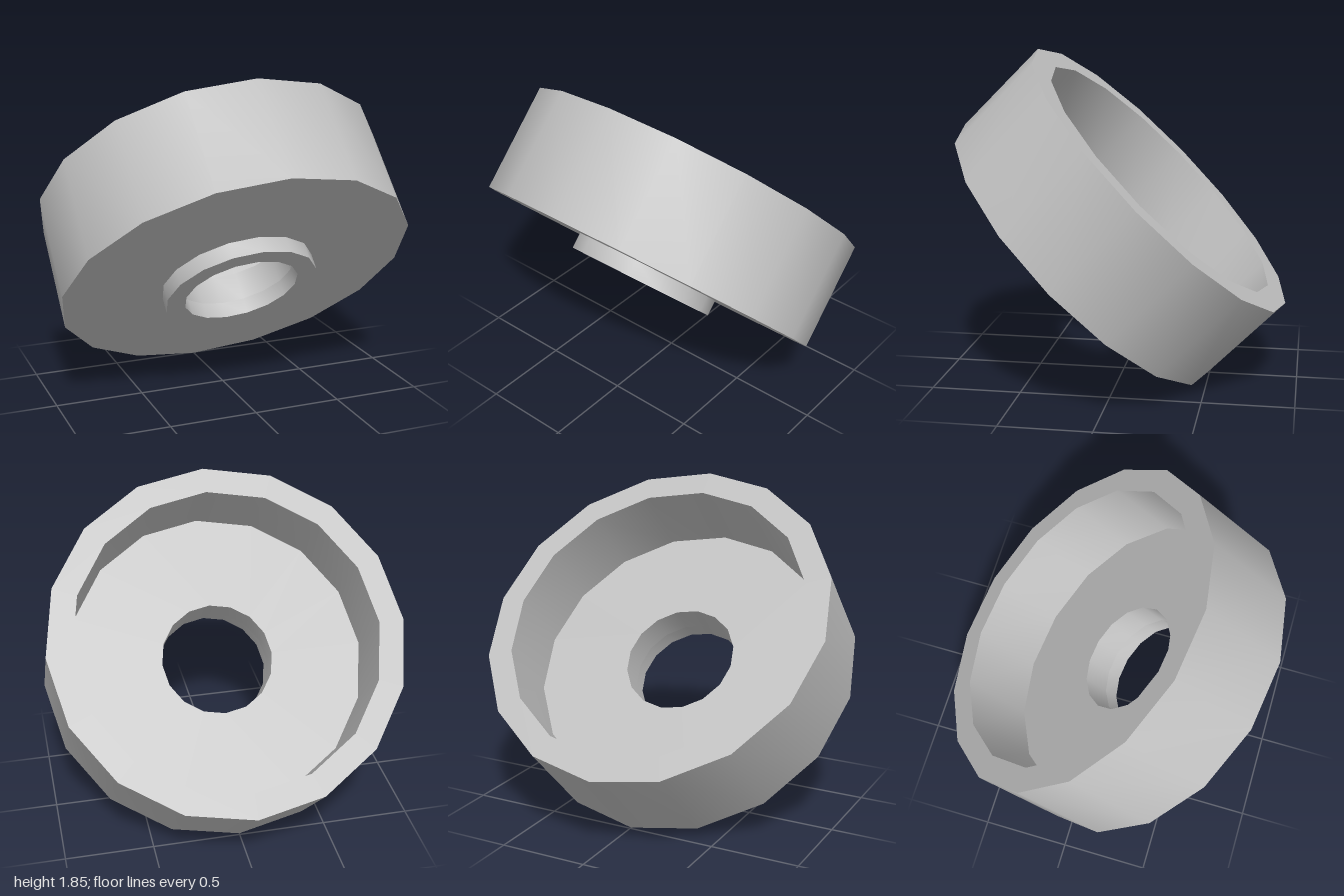
import * as THREE from 'three';
import { toCreasedNormals } from 'three/addons/utils/BufferGeometryUtils.js';

const SIDES = 16;
const OUTER = 1, INNER = 0.858, BOSS = 0.433, BORE = 0.325;
const HEIGHT = 0.615, FLOOR = 0.168, BOSS_DEPTH = 0.092;

export function createModel() {
  const group = new THREE.Group();
  group.name = 'tiltedCup';
  const grey = new THREE.MeshStandardMaterial({ color: 0xc0c0c0 });
  grey.name = 'grey';

  // Turned part: smooth around the axis, sharp along the profile corners
  function turned(name, profile) {
    const points = profile.map(([r, y]) => new THREE.Vector2(r, y));
    const geometry = toCreasedNormals(new THREE.LatheGeometry(points, SIDES), 0.6);
    const mesh = new THREE.Mesh(geometry, grey);
    mesh.name = name;
    group.add(mesh);
  }

  // Cup with a thick floor and a bored centre
  turned('cup', [
    [BOSS, 0], [OUTER, 0], [OUTER, HEIGHT], [INNER, HEIGHT],
    [INNER, FLOOR], [BORE, FLOOR], [BORE, 0],
  ]);

  // Raised collar around the bore, under the floor
  turned('collar', [
    [BORE, 0], [BORE, -BOSS_DEPTH], [BOSS, -BOSS_DEPTH], [BOSS, 0],
  ]);

  // Lean the open side up and back, resting on the lower rim
  group.rotation.x = -Math.PI / 4;
  group.position.set(0, Math.SQRT1_2, HEIGHT * Math.SQRT1_2 / 2);
  const model = new THREE.Group();
  model.name = 'model';
  model.add(group);
  return model;
}
